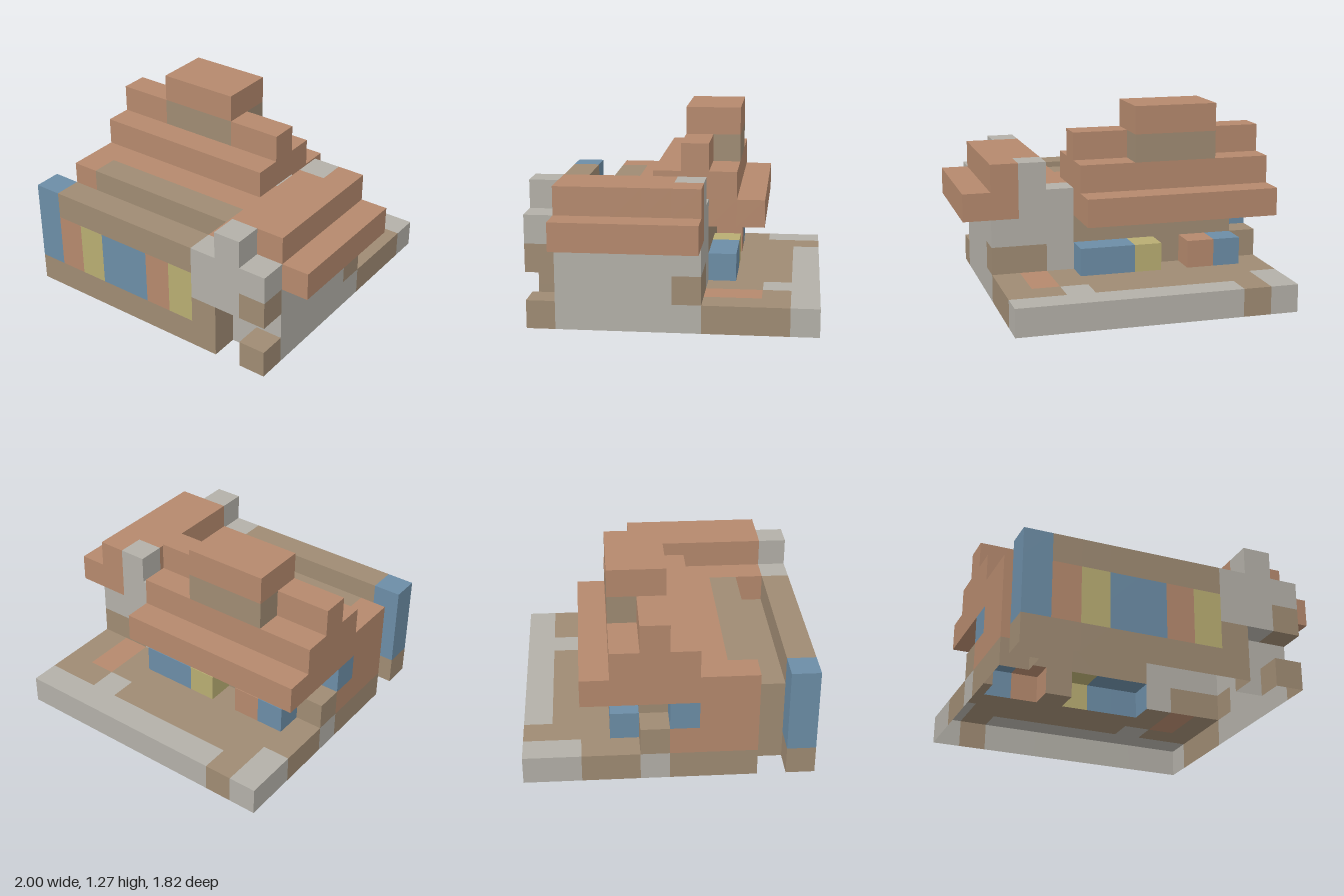
import * as THREE from 'three';
import { mergeGeometries } from 'three/addons/utils/BufferGeometryUtils.js';

const U = 2 / 11, NX = 11, NY = 7, NZ = 10;

const palette = { terracotta: 0xb5896d, tan: 0x9f8b73, grey: 0xb3b0a8, blue: 0x6c8da6, yellow: 0xb8ad72 };
const materials = {};
for (const [name, color] of Object.entries(palette)) {
  materials[name] = new THREE.MeshStandardMaterial({ color, side: THREE.DoubleSide });
  materials[name].name = name;
}

// Outward direction of each block face and the rotation that turns a plane to it
const H = Math.PI / 2;
const sides = [
  [1, 0, 0, 0, H], [-1, 0, 0, 0, -H], [0, 1, 0, -H, 0],
  [0, -1, 0, H, 0], [0, 0, 1, 0, 0], [0, 0, -1, 0, 2 * H],
];

export function createModel() {
  const grid = new Map();
  const key = (x, y, z) => `${x},${y},${z}`;

  // Fill an inclusive range of blocks; later calls repaint earlier ones
  function fill(part, color, [x0, x1], [y0, y1], [z0, z1]) {
    for (let x = x0; x <= x1; x++)
      for (let y = y0; y <= y1; y++)
        for (let z = z0; z <= z1; z++) grid.set(key(x, y, z), { part, color, x, y, z });
  }

  // Foundation slab with its paved yard at the back
  fill('foundation', 'tan', [0, 9], [0, 0], [0, 7]);
  fill('foundation', 'tan', [1, 7], [0, 0], [8, 9]);
  fill('foundation', 'tan', [0, 0], [0, 0], [9, 9]);
  fill('foundation', 'tan', [9, 9], [0, 0], [9, 9]);
  fill('foundation', 'grey', [0, 9], [0, 0], [0, 0]);
  fill('foundation', 'grey', [0, 0], [0, 0], [1, 1]);
  fill('foundation', 'tan', [1, 1], [0, 0], [0, 1]);
  fill('foundation', 'grey', [7, 7], [0, 0], [1, 1]);
  fill('foundation', 'grey', [0, 0], [0, 0], [4, 4]);
  fill('foundation', 'terracotta', [8, 8], [0, 0], [2, 3]);
  fill('foundation', 'grey', [8, 9], [0, 0], [4, 8]);

  // Main house walls
  fill('mainWalls', 'tan', [1, 6], [1, 2], [4, 8]);
  fill('sideWall', 'terracotta', [0, 0], [1, 2], [5, 7]);
  fill('sideWall', 'blue', [0, 0], [2, 2], [5, 5]);
  fill('cornerPost', 'tan', [0, 0], [1, 1], [4, 4]);

  // Coloured blocks along the back, with the doorway left open
  fill('backBlocks', 'blue', [5, 6], [1, 1], [3, 3]);
  fill('backBlocks', 'yellow', [4, 4], [1, 1], [3, 3]);
  fill('backBlocks', 'terracotta', [2, 2], [1, 1], [3, 3]);
  fill('backBlocks', 'blue', [1, 1], [1, 1], [3, 3]);

  // Front wall with its coloured band
  const band = ['terracotta', 'yellow', 'blue', 'blue', 'terracotta', 'yellow'];
  band.forEach((c, i) => fill('frontBand', c, [1 + i, 1 + i], [1, 2], [9, 9]));
  fill('frontColumn', 'blue', [0, 0], [1, 3], [9, 9]);
  fill('frontLintel', 'tan', [1, 6], [3, 3], [9, 9]);

  // Stepped main roof and chimney
  fill('mainRoof', 'terracotta', [0, 6], [3, 3], [2, 7]);
  fill('mainRoof', 'tan', [1, 6], [3, 3], [7, 7]);
  fill('mainRoof', 'terracotta', [0, 6], [4, 4], [3, 5]);
  fill('mainRoof', 'terracotta', [0, 6], [5, 5], [4, 4]);
  fill('chimney', 'tan', [2, 4], [5, 5], [3, 4]);
  fill('chimney', 'terracotta', [2, 4], [6, 6], [3, 4]);

  // Side wing walls and roof
  fill('wingWalls', 'grey', [7, 9], [1, 2], [4, 8]);
  fill('wingWalls', 'tan', [8, 9], [1, 1], [4, 4]);
  fill('wingRoof', 'terracotta', [7, 10], [3, 3], [4, 8]);
  fill('wingRoof', 'terracotta', [8, 9], [4, 4], [4, 8]);

  // Wing gables, back and front
  fill('backGable', 'grey', [7, 8], [2, 3], [4, 4]);
  fill('backGable', 'grey', [8, 8], [4, 4], [4, 4]);
  fill('frontGable', 'tan', [7, 7], [1, 1], [9, 9]);
  fill('frontGable', 'grey', [7, 9], [2, 3], [9, 9]);
  fill('frontGable', 'tan', [9, 9], [2, 2], [9, 9]);
  fill('frontGable', 'grey', [8, 8], [4, 4], [9, 9]);

  // Keep only exposed faces, leaving the underside open
  const meshes = {};
  for (const { part, color, x, y, z } of grid.values()) {
    for (const [dx, dy, dz, rx, ry] of sides) {
      if (grid.has(key(x + dx, y + dy, z + dz)) || y + dy < 0) continue;
      const face = new THREE.PlaneGeometry(U, U).rotateX(rx).rotateY(ry);
      face.translate(
        (x + 0.5 - NX / 2 + dx / 2) * U,
        (y + 0.5 + dy / 2) * U,
        (z + 0.5 - NZ / 2 + dz / 2) * U
      );
      ((meshes[part] ??= {})[color] ??= []).push(face);
    }
  }

  const model = new THREE.Group();
  model.name = 'house';
  for (const [part, colors] of Object.entries(meshes)) {
    const group = new THREE.Group();
    group.name = part;
    for (const [color, faces] of Object.entries(colors)) {
      const mesh = new THREE.Mesh(mergeGeometries(faces), materials[color]);
      mesh.name = `${part} ${color}`;
      group.add(mesh);
    }
    model.add(group);
  }
  return model;
}
